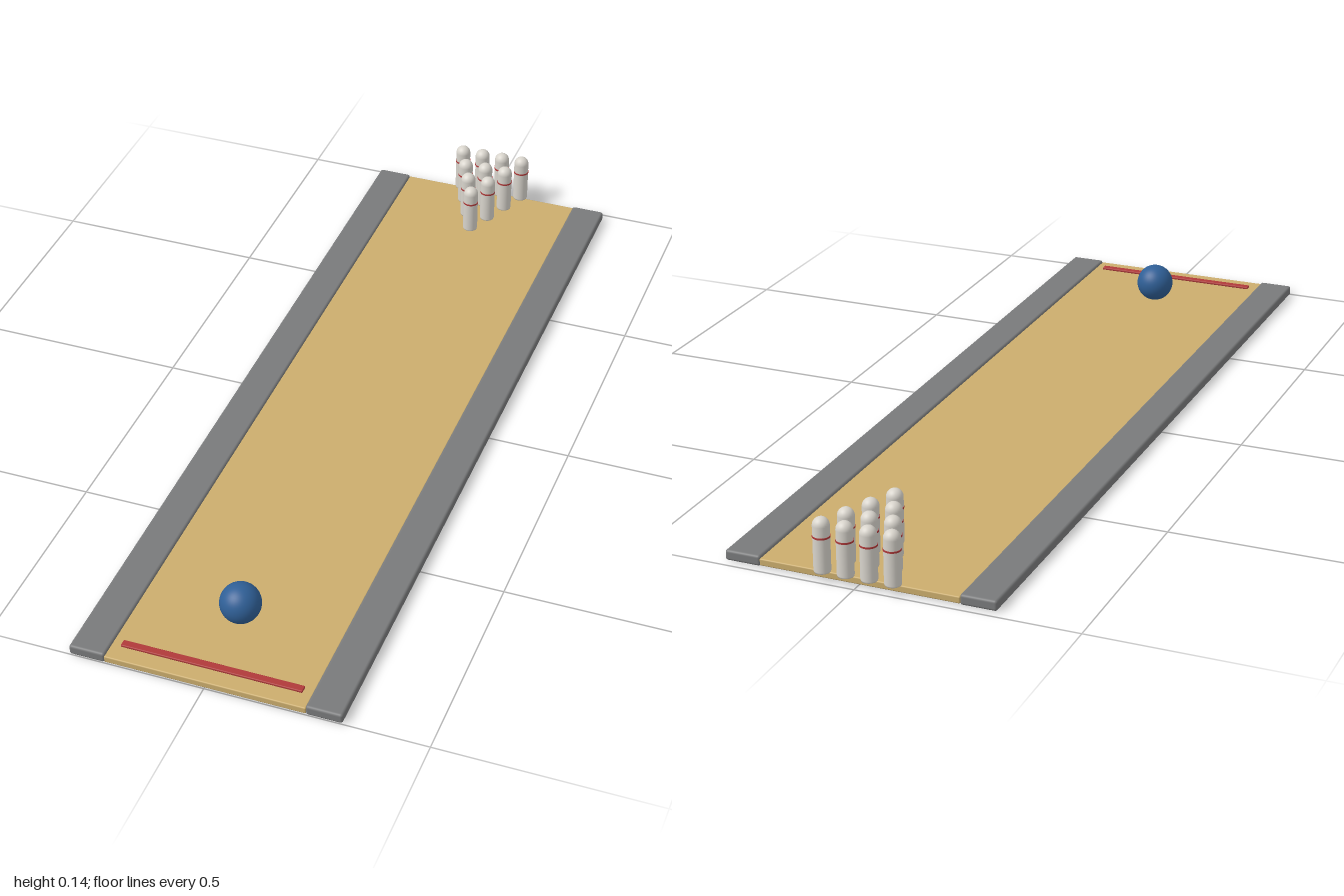
import * as THREE from 'three';
import { RoundedBoxGeometry } from 'three/addons/geometries/RoundedBoxGeometry.js';

const material = (name, color) => {
  const m = new THREE.MeshStandardMaterial({ color });
  m.name = name;
  return m;
};

export function createModel() {
  const wood = material('laneWood', 0xcbad6d);
  const grey = material('gutterGrey', 0x797a7b);
  const white = material('pinWhite', 0xd8d4cc);
  const red = material('stripeRed', 0xb03a3a);
  const blue = material('ballBlue', 0x2f5f96);
  const model = new THREE.Group();
  model.name = 'bowlingLane';

  const add = (parent, name, geometry, mat, x, y, z) => {
    const mesh = new THREE.Mesh(geometry, mat);
    mesh.name = name;
    mesh.position.set(x, y, z);
    parent.add(mesh);
    return mesh;
  };

  // Lane bed with a raised edge on each side
  const length = 1.98, midZ = 0.01;
  add(model, 'laneBed', new RoundedBoxGeometry(0.456, 0.016, length, 3, 0.003), wood, 0, 0.011, midZ);
  const gutter = new RoundedBoxGeometry(0.082, 0.024, length, 4, 0.006);
  for (const side of [-1, 1]) {
    add(model, side > 0 ? 'leftGutter' : 'rightGutter', gutter, grey, side * 0.268, 0.0125, midZ);
  }

  // Foul line near the front
  add(model, 'foulLine', new RoundedBoxGeometry(0.412, 0.006, 0.018, 2, 0.002), red, 0, 0.022, 0.952);

  // Ball
  add(model, 'ball', new THREE.SphereGeometry(0.046, 40, 28), blue, 0, 0.063, 0.79);

  // Pins: straight body, slightly eased foot and domed top
  const r = 0.0185, foot = 0.018, top = 0.143;
  const profile = [[0, foot], [r - 0.004, foot], [r - 0.001, foot + 0.0015], [r, foot + 0.005]]
    .map(([x, y]) => new THREE.Vector2(x, y));
  for (let i = 0; i <= 10; i++) {
    const a = (i / 10) * Math.PI / 2;
    profile.push(new THREE.Vector2(i === 10 ? 0 : r * Math.cos(a), top - r + r * Math.sin(a)));
  }
  const pinBody = new THREE.LatheGeometry(profile, 24);
  const pinBand = new THREE.CylinderGeometry(r + 0.0008, r + 0.0008, 0.004, 24);

  // Triangle of ten pins, widening toward the back
  for (let row = 0; row < 4; row++) {
    for (let i = 0; i <= row; i++) {
      const pin = new THREE.Group();
      pin.name = 'pin';
      pin.position.set((i - row / 2) * 0.0535, 0, -0.799 - row * 0.0608);
      add(pin, 'pinBody', pinBody, white, 0, 0, 0);
      add(pin, 'pinBand', pinBand, red, 0, 0.1, 0);
      model.add(pin);
    }
  }
  return model;
}
